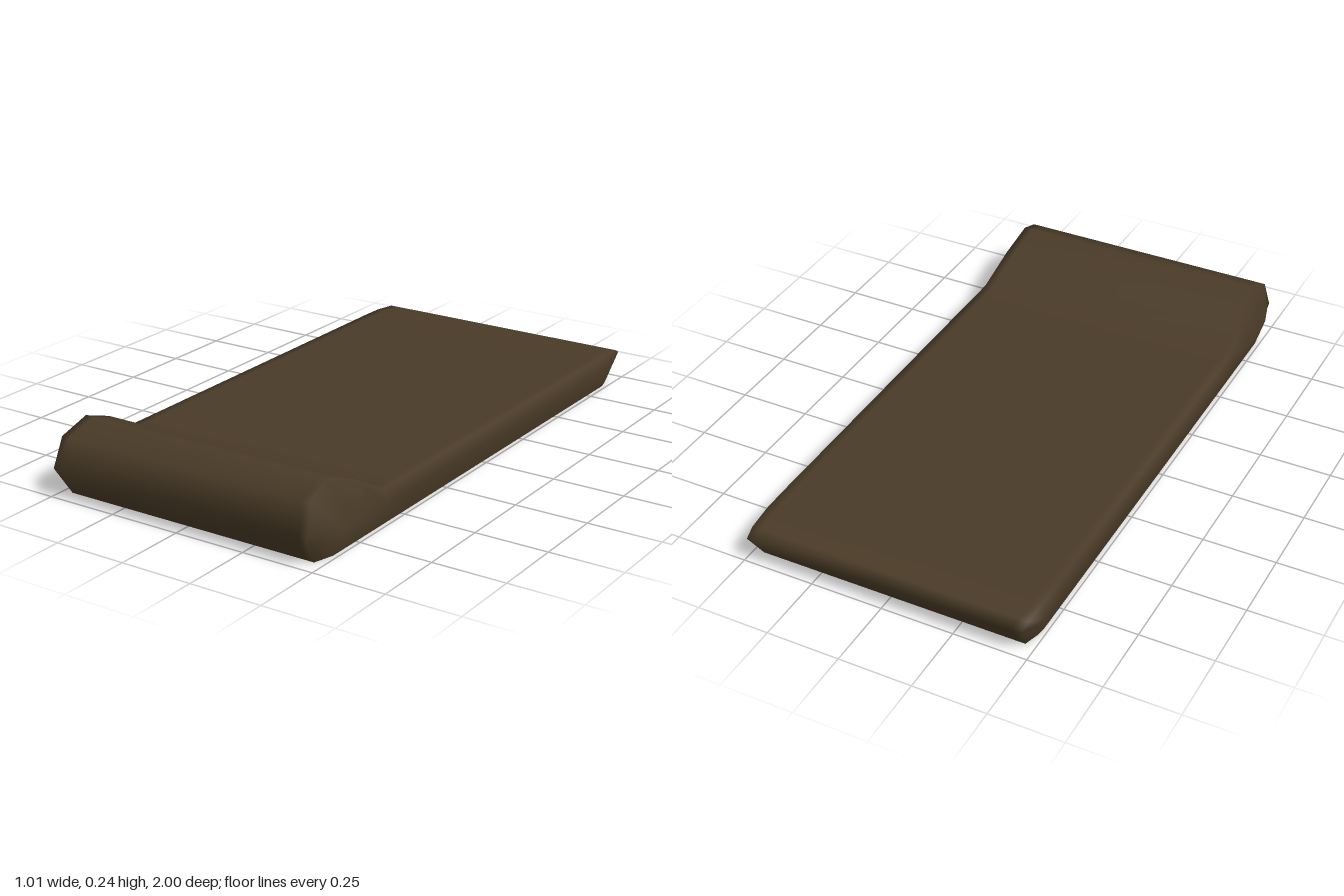
import * as THREE from 'three';
import { mergeVertices } from 'three/addons/utils/BufferGeometryUtils.js';

// Stations from front to back. Each holds the upper surface point [z, y],
// its half width, then side points [x, y, z] at mid height and at the hem.
const STATIONS = [
  { top: [0.94, 0], w: 0.465, mid: [0.465, 0, 0.94], hem: [0.465, 0, 0.94] },
  { top: [1, 0.1], w: 0.483, mid: [0.481, 0.085, 0.99], hem: [0.465, 0, 0.94] },
  { top: [0.965, 0.2], w: 0.472, mid: [0.504, 0.08, 0.91], hem: [0.485, 0, 0.87] },
  { top: [0.865, 0.24], w: 0.46, mid: [0.505, 0.075, 0.84], hem: [0.485, 0, 0.81] },
  { top: [0.74, 0.195], w: 0.473 },
  { top: [0.605, 0.12], w: 0.492 },
  { top: [0.5, 0.12], w: 0.492 },
  { top: [0, 0.12], w: 0.492 },
  { top: [-0.78, 0.12], w: 0.492 },
  { top: [-0.87, 0.12], w: 0.49, mid: [0.505, 0.075, -0.89], hem: [0.485, 0, -0.86] },
  { top: [-0.96, 0.113], w: 0.485, mid: [0.5, 0.08, -0.925], hem: [0.48, 0, -0.89] },
  { top: [-1, 0.095], w: 0.481, mid: [0.481, 0.085, -0.99], hem: [0.465, 0, -0.94] },
  { top: [-0.94, 0], w: 0.465, mid: [0.465, 0, -0.94], hem: [0.465, 0, -0.94] },
];

// One cross-section, from the left hem over the top to the right hem
function crossSection({ top: [z, y], w, mid = [0.505, 0.075, z], hem = [0.485, 0, z] }) {
  const half = [hem, mid, [w, y, z], [w - 0.03, y, z]];
  const mirrored = half.map(([px, py, pz]) => [-px, py, pz]).reverse();
  return [...half, [0, y, z], ...mirrored];
}

// Skin the cross-sections into a smooth shell, open underneath
function loft(sections) {
  const n = sections[0].length;
  const index = [];
  for (let j = 0; j < sections.length - 1; j++) {
    for (let i = 0; i < n - 1; i++) {
      const a = j * n + i, b = a + 1, c = a + n, d = c + 1;
      index.push(a, c, b, b, c, d);
    }
  }
  const geometry = new THREE.BufferGeometry();
  geometry.setAttribute('position', new THREE.Float32BufferAttribute(sections.flat(2), 3));
  geometry.setIndex(index);
  const merged = mergeVertices(geometry);
  merged.computeVertexNormals();
  return merged;
}

export function createModel() {
  const brownCloth = new THREE.MeshStandardMaterial({ color: 0x4a3b27, side: THREE.DoubleSide });
  brownCloth.name = 'brownCloth';

  // Sleeping mat with a raised headrest at the front
  const mat = new THREE.Mesh(loft(STATIONS.map(crossSection)), brownCloth);
  mat.name = 'matWithHeadrest';

  const group = new THREE.Group();
  group.name = 'sleepingMat';
  group.add(mat);
  return group;
}
